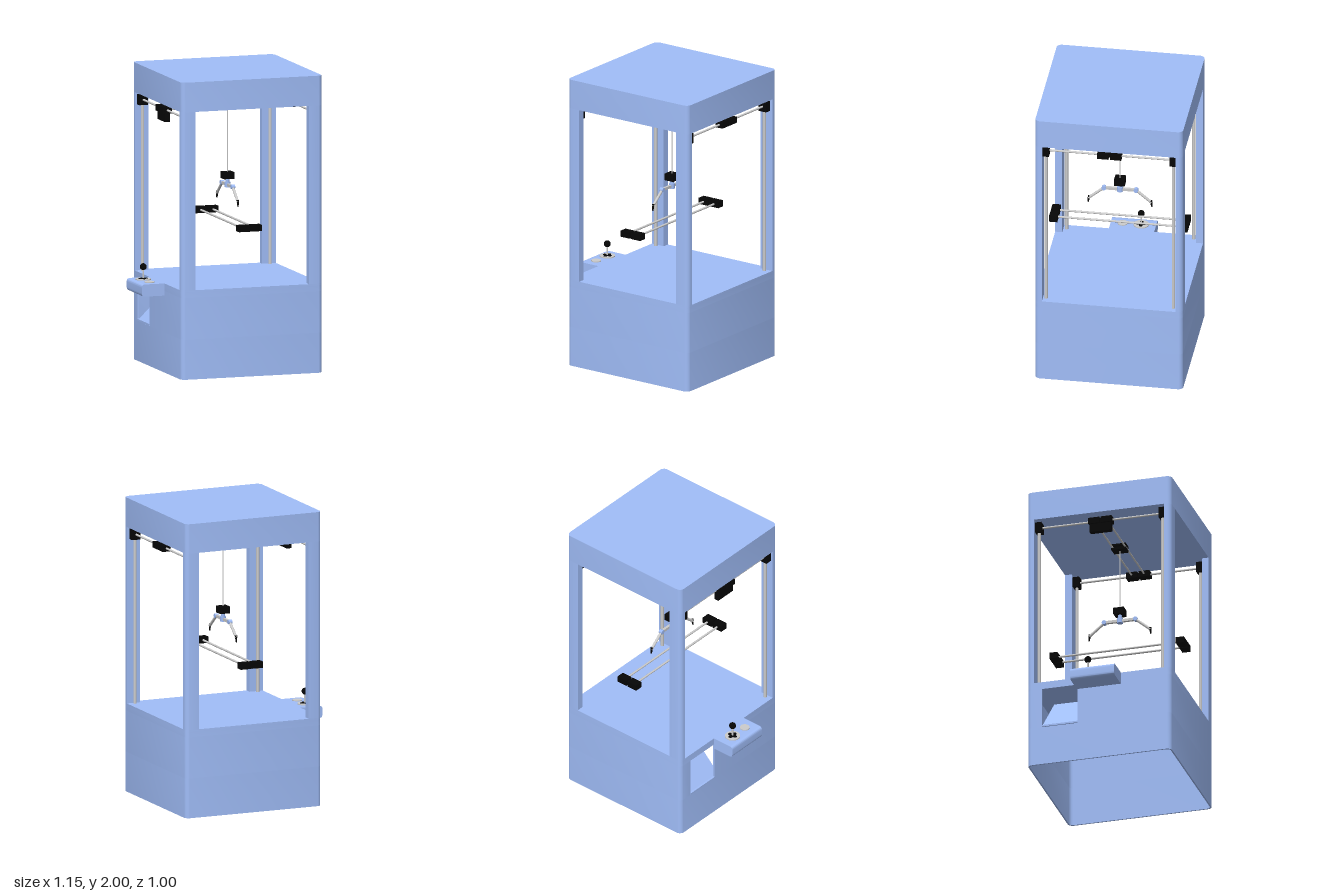
import * as THREE from 'three';
import { toCreasedNormals } from 'three/addons/utils/BufferGeometryUtils.js';

const blue = new THREE.MeshStandardMaterial({ color: 0xa0bdf8 });
const grey = new THREE.MeshStandardMaterial({ color: 0xcccccc });
const black = new THREE.MeshStandardMaterial({ color: 0x060606 });

// Cabinet footprint, corner radius and wall thickness
const X0 = -0.417, X1 = 0.577, Z = 0.4975, R = 0.035, WALL = 0.01;
const FLOOR = 0.6, ROOF = 1.8, TOP = 2;
// Gantry: side rails, claw position, rail height, post and end block positions
const RAILS = [-0.37, 0.528], CX = 0.079, GY = 1.752, GZ = 0.428, BZ = 0.438;

export function createModel() {
  const model = new THREE.Group();

  const add = (name, geometry, material, x = 0, y = 0, z = 0) => {
    const mesh = new THREE.Mesh(geometry, material);
    mesh.name = name;
    mesh.position.set(x, y, z);
    model.add(mesh);
    return mesh;
  };
  const box = (name, w, h, d, x, y, z, material = black) =>
    add(name, new THREE.BoxGeometry(w, h, d), material, x, y, z);
  const disc = (name, r, h, x, y, z, material = grey) =>
    add(name, new THREE.CylinderGeometry(r, r, h, 32), material, x, y, z);

  // Round bar between two points
  const rod = (name, a, b, r0, material = grey, r1 = r0) => {
    const from = new THREE.Vector3(...a), to = new THREE.Vector3(...b);
    const dir = to.clone().sub(from);
    const mesh = add(name, new THREE.CylinderGeometry(r1, r0, dir.length(), 14), material);
    mesh.position.copy(from).addScaledVector(dir, 0.5);
    mesh.quaternion.setFromUnitVectors(new THREE.Vector3(0, 1, 0), dir.normalize());
  };

  // Upright prism from an outline of (x, z) points
  const prism = (name, points, y0, y1, hole) => {
    const shape = new THREE.Shape(points);
    if (hole) shape.holes.push(new THREE.Path(hole));
    const g = new THREE.ExtrudeGeometry(shape, { depth: y1 - y0, bevelEnabled: false });
    g.rotateX(Math.PI / 2).translate(0, y1, 0);
    add(name, toCreasedNormals(g, 0.6), blue);
  };

  // Quarter-circle points, sweeping clockwise from the given angle
  const arc = (cx, cz, r, start) => Array.from({ length: 9 }, (_, i) => {
    const a = start - (i / 8) * Math.PI / 2;
    return new THREE.Vector2(cx + r * Math.cos(a), cz + r * Math.sin(a));
  });
  const outline = (inset = 0) => {
    const r = R - inset, H = Math.PI / 2;
    return [
      ...arc(X0 + R, Z - R, r, 2 * H), ...arc(X1 - R, Z - R, r, H),
      ...arc(X1 - R, -Z + R, r, 0), ...arc(X0 + R, -Z + R, r, -H),
    ];
  };
  // The inner outline runs the other way so that its walls face inwards
  const inner = outline(WALL).reverse();

  // Hollow base, open underneath, with a prize opening in the side wall
  const openY0 = 0.27, openY1 = 0.55, openZ0 = -0.395, openZ1 = -0.15;
  const at = (x, z) => new THREE.Vector2(x, z);
  prism('lowerBase', outline(), 0, openY0, inner);
  prism('middleBase', [
    at(X0, openZ1), ...outline(), at(X0, openZ0),
    at(X0 + WALL, openZ0), ...inner, at(X0 + WALL, openZ1),
  ], openY0, openY1);
  prism('upperBase', outline(), openY1, FLOOR - WALL, inner);
  prism('playFloor', outline(), FLOOR - WALL, FLOOR);
  prism('roof', outline(), ROOF, TOP);

  // Sloping chute behind the opening and its lip
  const rise = 0.3, run = 0.3;
  const chute = box('prizeChute', 0.008, Math.hypot(rise, run), 0.3,
    X0 + 0.008 + run / 2, openY0 + rise / 2, -0.25, blue);
  chute.rotation.z = -Math.atan2(run, rise);
  box('prizeLip', 0.014, 0.012, openZ1 - openZ0, X0 + 0.003, openY0 + 0.008,
    (openZ0 + openZ1) / 2, blue);

  // Corner pillars, rounded on the outer edge
  const pw = 0.097, pd = Z - 0.45;
  for (const sx of [-1, 1]) for (const sz of [-1, 1]) {
    const ox = sx < 0 ? X0 : X1, oz = sz * Z;
    const corner = arc(0, 0, R, Math.PI / 2)
      .map(p => at(ox + sx * (p.x - R), oz + sz * (p.y - R)));
    prism('pillar', [
      at(ox - sx * pw, oz), ...corner, at(ox, oz - sz * pd), at(ox - sx * pw, oz - sz * pd),
    ], FLOOR, ROOF);
  }

  // Gantry posts, corner blocks, side rails and carriages
  for (const x of RAILS) {
    for (const s of [-1, 1]) {
      rod('post', [x, FLOOR, s * GZ], [x, ROOF - 0.01, s * GZ], 0.011);
      box('cornerBlock', 0.06, 0.07, 0.065, x, GY, s * BZ);
      box('carriage', 0.058, 0.042, 0.076, x, GY, s * 0.043);
    }
    rod('sideRail', [x, GY, -GZ], [x, GY, GZ], 0.007);
    box('carriageLink', 0.03, 0.025, 0.03, x, GY, 0);
  }
  box('carriageMotor', 0.035, 0.07, 0.15, RAILS[0], 1.708, 0);

  // Cross rods and trolley
  for (const z of [-0.043, 0.043])
    rod('crossRod', [RAILS[0], GY, z], [RAILS[1], GY, z], 0.006);
  for (const y of [-0.014, 0.014]) box('trolleyPlate', 0.072, 0.014, 0.1, CX, GY + y, 0);
  box('trolleyCore', 0.04, 0.03, 0.08, CX, GY, 0);

  // Lower pair of rods with end blocks
  for (const s of [-1, 1]) {
    for (const dx of [-0.043, 0.043])
      box('lowerEndBlock', 0.076, 0.042, 0.056, CX + dx, 0.99, s * BZ);
    box('lowerLink', 0.03, 0.015, 0.02, CX, 0.99, s * BZ);
    rod('lowerRod', [CX + s * 0.043, 0.99, -GZ], [CX + s * 0.043, 0.99, GZ], 0.007);
  }

  // Cable, claw head and hub
  rod('cable', [CX, 1.3, 0], [CX, GY, 0], 0.003);
  box('clawHead', 0.072, 0.045, 0.072, CX, 1.283, 0);
  disc('clawNeck', 0.013, 0.05, CX, 1.244, 0, blue);
  disc('clawHub', 0.02, 0.035, CX, 1.22, 0, blue);

  // Two mirrored claw arms
  for (const s of [-1, 1]) {
    box('clawUpperArm', 0.018, 0.018, 0.1, CX, 1.219, s * 0.06, grey);
    rod('clawJoint', [CX - 0.013, 1.219, s * 0.108], [CX + 0.013, 1.219, s * 0.108], 0.015, blue);
    rod('clawForearm', [CX, 1.217, s * 0.11], [CX, 1.132, s * 0.212], 0.009);
    rod('clawTip', [CX, 1.145, s * 0.208], [CX, 1.1, s * 0.214], 0.009, black, 0.004);
  }

  // Control panel with rounded outer edges
  const px = -0.577, py = 0.518, pr = 0.022;
  const side = new THREE.Shape();
  side.moveTo(X0 + WALL, FLOOR).lineTo(px + pr, FLOOR);
  side.quadraticCurveTo(px, FLOOR, px, FLOOR - pr).lineTo(px, py + pr);
  side.quadraticCurveTo(px, py, px + pr, py).lineTo(X0 + WALL, py);
  const panel = new THREE.ExtrudeGeometry(side, { depth: 0.305, bevelEnabled: false, curveSegments: 8 });
  add('controlPanel', toCreasedNormals(panel, 0.6), blue, 0, 0, -0.154);

  // Joystick in a cross-shaped slot, and button
  const jx = -0.495, jz = -0.055;
  disc('joystickPlate', 0.051, 0.012, jx, 0.601, jz);
  disc('joystickBoot', 0.02, 0.004, jx, 0.608, jz, black);
  for (const s of [-1, 1]) {
    disc('joystickSlot', 0.013, 0.003, jx + s * 0.021, 0.608, jz, black);
    disc('joystickSlot', 0.013, 0.003, jx, 0.608, jz + s * 0.021, black);
  }
  rod('joystickShaft', [jx, FLOOR, jz], [jx, 0.68, jz], 0.006);
  add('joystickBall', new THREE.SphereGeometry(0.023, 24, 16), black, jx, 0.687, jz);
  disc('button', 0.033, 0.012, jx, 0.6, 0.07);

  return model;
}
